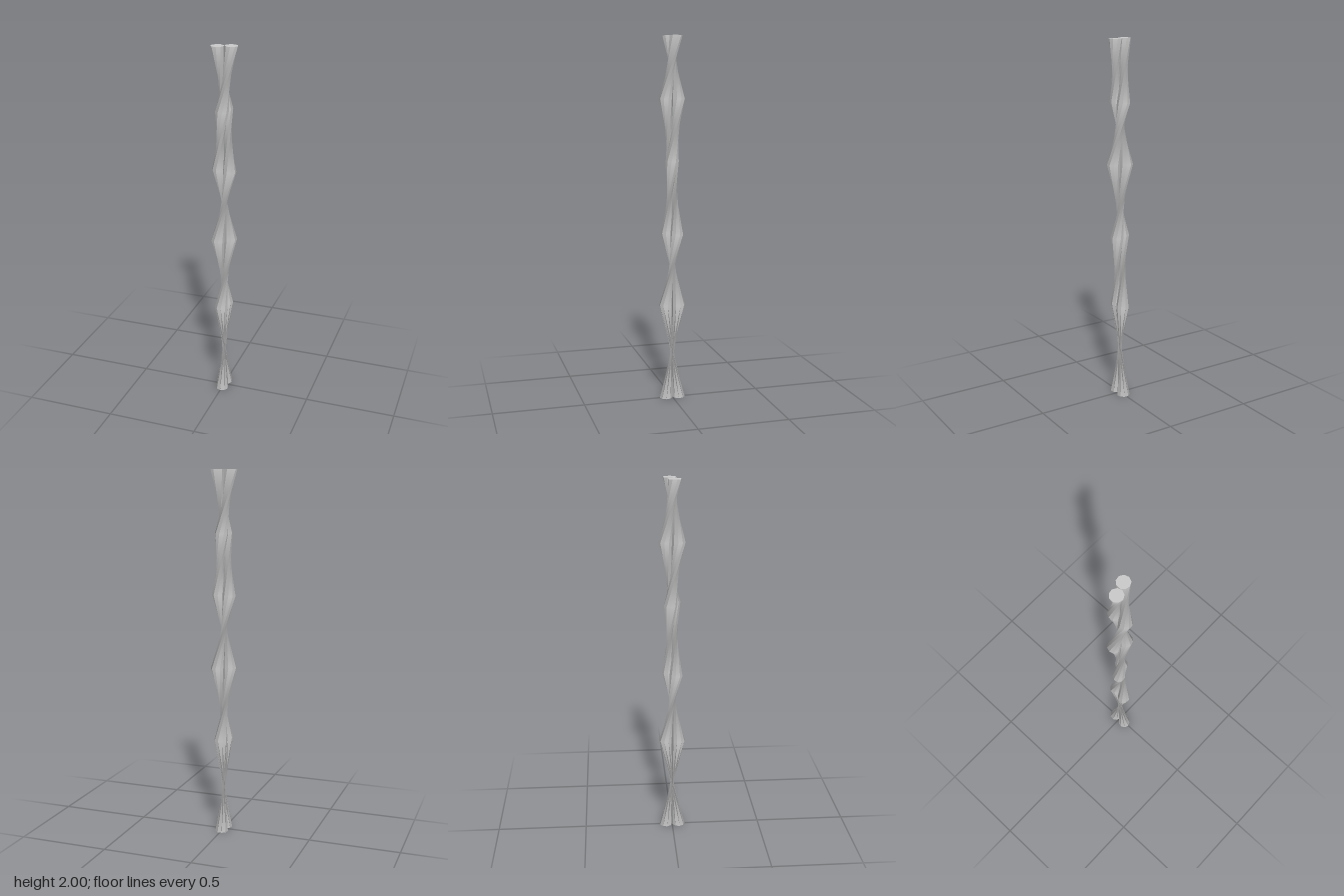
import * as THREE from 'three';

const HEIGHT = 2;
const RADIUS = 0.036;
const SIDES = 9;
const TURNS = 1.8;
// Heights of the rings, from bottom to top
const RINGS = [0, 8 / 15, 14 / 15, 4 / 3, 5 / 3, 2];

// A straight faceted strand beside the axis, wound around it ring by ring.
// The facet normals turn with the rings, so each facet runs smoothly along the rope.
function strandGeometry(offset) {
  const segments = RINGS.length - 1;
  const geometry = new THREE.CylinderGeometry(RADIUS, RADIUS, segments, SIDES, segments).toNonIndexed();
  geometry.computeVertexNormals();
  geometry.translate(0, segments / 2, offset);
  const { position, normal } = geometry.attributes;
  const up = new THREE.Vector3(0, 1, 0);
  const v = new THREE.Vector3();
  for (let i = 0; i < position.count; i++) {
    const y = RINGS[Math.round(position.getY(i))];
    const angle = (y / HEIGHT) * TURNS * Math.PI * 2;
    v.fromBufferAttribute(position, i).setY(y).applyAxisAngle(up, angle);
    position.setXYZ(i, v.x, v.y, v.z);
    v.fromBufferAttribute(normal, i).applyAxisAngle(up, angle);
    normal.setXYZ(i, v.x, v.y, v.z);
  }
  return geometry;
}

export function createModel() {
  const model = new THREE.Group();
  model.name = 'twistedRope';
  // The tight twist turns parts of the facets inside out, so both sides show
  const material = new THREE.MeshStandardMaterial({ color: 0xcccccc, side: THREE.DoubleSide });

  // Two touching strands
  [['frontStrand', RADIUS], ['backStrand', -RADIUS]].forEach(([name, offset]) => {
    const strand = new THREE.Mesh(strandGeometry(offset), material);
    strand.name = name;
    model.add(strand);
  });
  return model;
}
